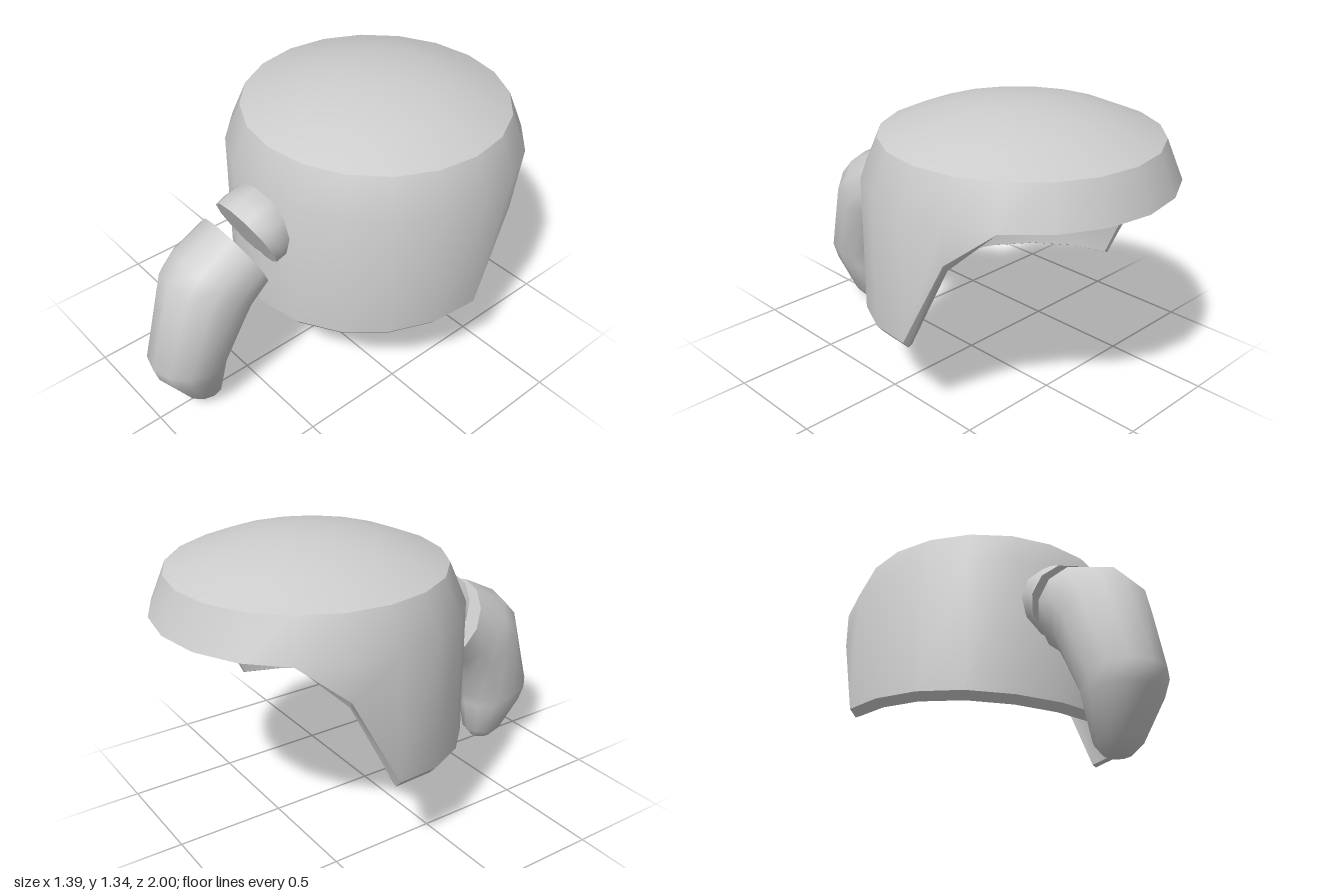
import * as THREE from 'three';
import { toCreasedNormals } from 'three/addons/utils/BufferGeometryUtils.js';

// Skin a list of rings (each an array of Vector3, ordered top to bottom).
function skin(rings, crease) {
  const pos = [];
  const tri = (a, b, c) => {
    if (a.distanceTo(b) < 1e-5 || b.distanceTo(c) < 1e-5 || a.distanceTo(c) < 1e-5) return;
    for (const v of [a, b, c]) pos.push(v.x, v.y, v.z);
  };
  for (let j = 0; j < rings.length - 1; j++) {
    const top = rings[j], low = rings[j + 1], n = top.length;
    for (let i = 0; i < n; i++) {
      const k = (i + 1) % n;
      tri(top[i], low[i], top[k]);
      tri(top[k], low[i], low[k]);
    }
  }
  const geo = new THREE.BufferGeometry();
  geo.setAttribute('position', new THREE.Float32BufferAttribute(pos, 3));
  return toCreasedNormals(geo, crease);
}

// Capped tube from sections [frontZ, frontY, backZ, backY, halfWidth].
function sectionTube(sections, sides = 12) {
  const ring = ([fz, fy, bz, by, w], scale = 1) => Array.from({ length: sides }, (_, i) => {
    const a = (i / sides) * Math.PI * 2, c = Math.cos(a) * scale / 2;
    return new THREE.Vector3(
      w * Math.sin(a) * scale,
      (fy + by) / 2 + (fy - by) * c,
      (fz + bz) / 2 + (fz - bz) * c);
  });
  const rings = sections.map((s) => ring(s));
  rings.unshift(ring(sections[0], 0));
  rings.push(ring(sections[sections.length - 1], 0));
  return skin(rings, 1.0);
}

// Height of the lower rim as a function of depth (z from back to front).
const RIM = [[-1.1, 1.01], [-0.7, 1.01], [-0.52, 0.82], [-0.305, 0.4], [-0.09, 0.38], [0.2, 0.355], [0.4, 0.328]];
function rimHeight(z) {
  for (let i = 1; i < RIM.length; i++) {
    const [z0, y0] = RIM[i - 1], [z1, y1] = RIM[i];
    if (z <= z1) return y0 + (y1 - y0) * (z - z0) / (z1 - z0);
  }
  return RIM[RIM.length - 1][1];
}

const SHELL_Z = -0.305, SHELL_R = 0.695;

// Twenty-sided shell surface; profile(rim, inner) gives [radius, y] points per column.
function shellSurface(profile, crease) {
  const sides = 20;
  const columns = Array.from({ length: sides }, (_, i) => {
    const a = (i / sides) * Math.PI * 2;
    const rim = rimHeight(SHELL_Z + SHELL_R * Math.cos(a));
    const inner = rim > 1 ? 0.6 : 0.645; // the raised back lip is thicker
    return profile(rim, inner).map(([r, y]) =>
      new THREE.Vector3(r * Math.sin(a), y, SHELL_Z + r * Math.cos(a)));
  });
  return skin(columns[0].map((_, j) => columns.map((c) => c[j])), crease);
}

export function createModel() {
  const group = new THREE.Group();
  const grey = new THREE.MeshStandardMaterial({ color: 0xcccccc });
  grey.name = 'plain grey';
  const add = (name, geo) => {
    const mesh = new THREE.Mesh(geo, grey);
    mesh.name = name;
    group.add(mesh);
  };

  // Dome, tapered shoulder, wall and bevelled rim
  add('outerShell', shellSurface((rim, inner) => [
    [0, 1.342], [0.15, 1.335], [0.3, 1.312], [0.45, 1.27], [0.62, 1.2],
    [SHELL_R, 1.02], [SHELL_R, Math.min(rim + 0.035, 1.02)], [0.665, rim], [inner, rim + 0.01],
  ], 0.6));

  // Inner wall curving into a ceiling with a round recess
  add('innerShell', shellSurface((rim, inner) => [
    [inner, rim + 0.01], [inner, 1.03], [Math.min(inner, 0.6), 1.07],
    [0.34, 1.085], [0.3, 1.3], [0.15, 1.32], [0, 1.325],
  ], 0.9));

  // Short socket passing through the front wall
  add('socket', sectionTube([
    [0.3, 1.01, 0.3, 0.66, 0.165],
    [0.39, 1.022, 0.35, 0.655, 0.19],
    [0.47, 1.0, 0.37, 0.652, 0.192],
    [0.53, 0.97, 0.38, 0.65, 0.192],
  ]));

  // Bent, tapering spout, separated from the socket by a gap
  add('spout', sectionTube([
    [0.605, 0.925, 0.43, 0.57, 0.2],
    [0.79, 0.83, 0.51, 0.505, 0.213],
    [0.87, 0.745, 0.55, 0.44, 0.217],
    [1.0, 0.32, 0.635, 0.27, 0.178],
    [0.975, 0.235, 0.64, 0.225, 0.16],
    [0.86, 0.06, 0.665, 0.06, 0.1],
    [0.82, 0.02, 0.7, 0.015, 0.06],
    [0.785, 0.003, 0.745, 0.0, 0.02],
  ]));

  return group;
}
